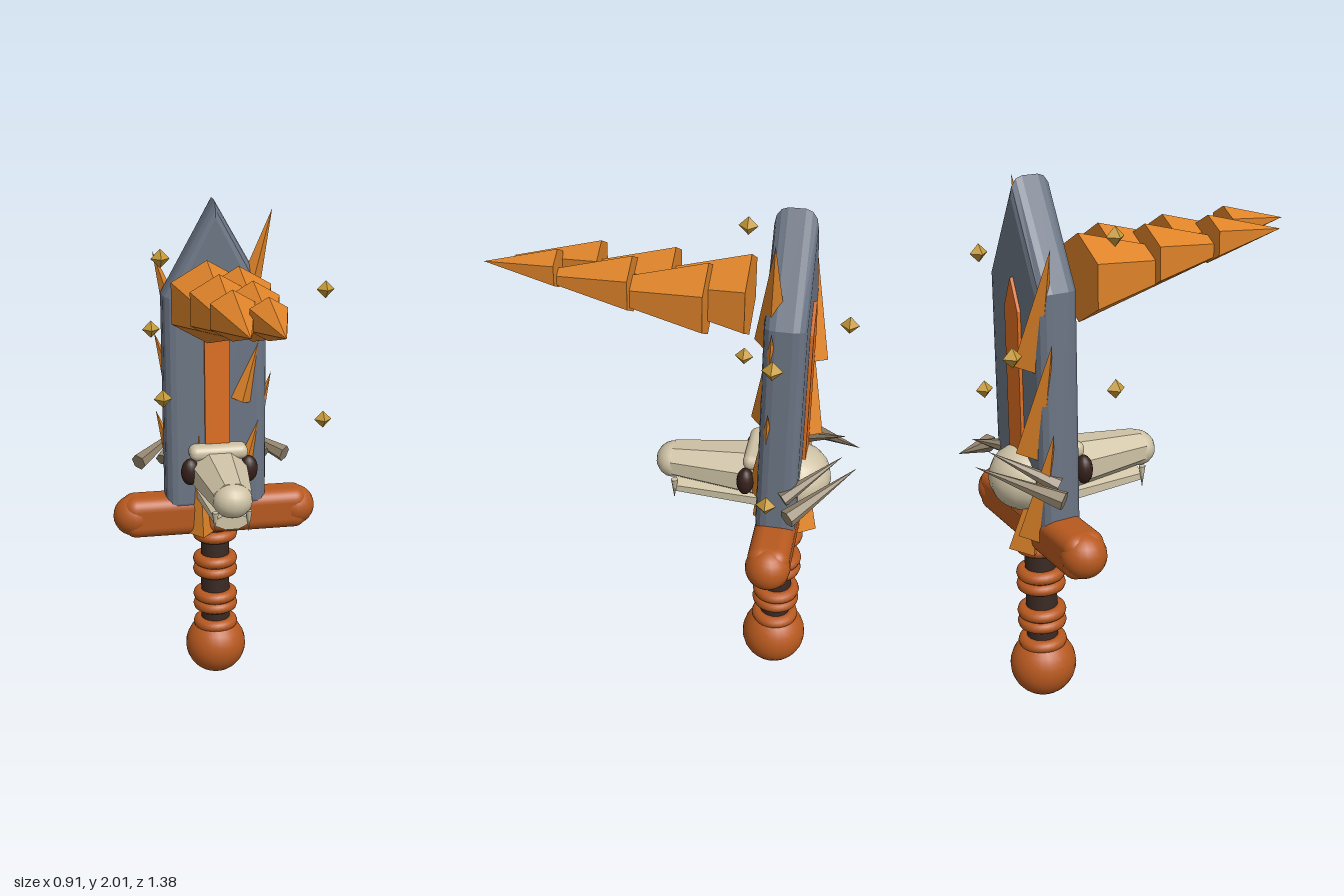
import * as THREE from 'three';
import { RoundedBoxGeometry } from 'three/addons/geometries/RoundedBoxGeometry.js';

const CX = -0.035, CZ = -0.41; // sword axis
const mat = (color, flatShading = false) => new THREE.MeshStandardMaterial({ color, flatShading });
const M = {
  steel: mat(0x6b7584), core: mat(0xde6f22), copper: mat(0xb8591f), leather: mat(0x3b2a24),
  flame: mat(0xdf8429, true), bone: mat(0xcfc3a6), boneFlat: mat(0xcfc3a6, true),
  horn: mat(0x92836b, true), eye: mat(0x35201a), gold: mat(0xc69a38, true),
};
const V = (x, y, z) => new THREE.Vector3(x, y, z);

export function createModel() {
  const root = new THREE.Group();
  root.name = 'flamingSword';

  const add = (name, geo, material, x, y, z, parent = root) => {
    const m = new THREE.Mesh(geo, material);
    m.name = name;
    m.position.set(x, y, z);
    parent.add(m);
    return m;
  };

  // Cone running from a base centre to a tip
  const spike = (name, base, tip, r, sides, material, parent = root, turn = 0) => {
    const dir = tip.clone().sub(base);
    const len = dir.length();
    const geo = new THREE.ConeGeometry(r, len, sides).rotateY(turn).translate(0, len / 2, 0);
    const m = add(name, geo, material, base.x, base.y, base.z, parent);
    m.quaternion.setFromUnitVectors(V(0, 1, 0), dir.normalize());
    return m;
  };

  // Pointed slab with bevelled edges, centred on the sword plane
  const slab = (name, half, bottom, shoulder, top, thick, bevel, segs, material) => {
    const s = new THREE.Shape();
    const h = half - bevel;
    s.moveTo(-h, bottom);
    s.lineTo(h, bottom);
    s.lineTo(h, shoulder);
    s.lineTo(0, top - bevel * 1.15);
    s.lineTo(-h, shoulder);
    s.closePath();
    const depth = thick - 2 * bevel;
    const geo = new THREE.ExtrudeGeometry(s, {
      depth, bevelEnabled: bevel > 0, bevelThickness: bevel, bevelSize: bevel, bevelSegments: segs,
    });
    geo.translate(0, 0, -depth / 2);
    return add(name, geo, material, CX, 0, CZ);
  };

  // Blade and glowing core
  slab('blade', 0.205, 0.8, 1.64, 2.0, 0.15, 0.045, 3, M.steel);
  slab('bladeCore', 0.05, 0.78, 1.56, 1.67, 0.175, 0, 1, M.core);

  // Hilt
  add('pommel', new THREE.SphereGeometry(0.127, 24, 16), M.copper, CX, 0.127, CZ);
  add('grip', new THREE.CylinderGeometry(0.06, 0.06, 0.5, 20), M.leather, CX, 0.44, CZ);
  for (const y of [0.23, 0.315, 0.36, 0.475, 0.522, 0.635]) {
    add('gripRing', new THREE.TorusGeometry(0.068, 0.025, 10, 28).rotateX(Math.PI / 2), M.copper, CX, y, CZ);
  }
  add('guard', new RoundedBoxGeometry(0.76, 0.17, 0.155, 4, 0.05), M.copper, CX, 0.737, CZ);
  for (const s of [-1, 1]) {
    add('guardEnd', new THREE.SphereGeometry(0.084, 20, 14), M.copper, CX + s * 0.336, 0.737, CZ);
  }

  // Skull
  const skull = new THREE.Group();
  skull.name = 'skull';
  root.add(skull);
  add('cranium', new THREE.SphereGeometry(0.135, 16, 12), M.bone, CX, 0.925, -0.46, skull).scale.set(1.05, 0.92, 1);
  const snout = new THREE.CylinderGeometry(0.07, 0.11, 0.35, 8).rotateY(Math.PI / 8).rotateX(Math.PI / 2);
  add('snout', snout, M.boneFlat, CX, 0.94, -0.165, skull).scale.set(1.15, 0.95, 1);
  add('nose', new THREE.SphereGeometry(0.067, 16, 12), M.bone, CX, 0.935, 0.01, skull).scale.set(1.15, 1, 1);
  add('brow', new RoundedBoxGeometry(0.235, 0.06, 0.09, 3, 0.028), M.bone, CX, 1.025, -0.315, skull);
  const jaw = new THREE.CylinderGeometry(0.055, 0.075, 0.33, 8).rotateY(Math.PI / 8).rotateX(Math.PI / 2);
  add('jaw', jaw, M.boneFlat, CX, 0.842, -0.17, skull).scale.set(1.25, 0.6, 1);
  for (const s of [-1, 1]) {
    add('eye', new THREE.SphereGeometry(0.05, 16, 12), M.eye, CX + s * 0.118, 0.955, -0.285, skull).scale.set(0.75, 1.1, 0.65);
    for (const z of [-0.005, -0.32]) {
      const x = CX + s * 0.065;
      spike('tooth', V(x, 0.885, z), V(x, 0.798, z), 0.014, 6, M.bone, skull);
    }
    // Swept-back horns
    spike('outerHorn', V(CX + s * 0.305, 0.945, -0.465), V(CX + s * 0.067, 1.035, -0.69), 0.035, 6, M.horn, skull);
    spike('innerHorn', V(CX + s * 0.21, 0.96, -0.435), V(CX + s * 0.067, 1.08, -0.635), 0.03, 6, M.horn, skull);
  }

  // Licks of flame: rows climbing the front left edge and the back right edge
  for (let i = 0; i < 3; i++) {
    const y = i * 0.322;
    spike('frontFlame', V(0.06, 0.905 + y, -0.355), V(0.19, 1.33 + y, -0.37), 0.06, 4, M.flame);
    spike('backFlame', V(-0.13, 0.74 + y, -0.475), V(-0.265, 1.165 + y, -0.46), 0.068, 4, M.flame);
  }
  spike('frontFlame', V(-0.1, 0.67, -0.38), V(-0.11, 1.09, -0.335), 0.085, 4, M.flame);
  spike('backFlame', V(-0.06, 0.66, -0.48), V(-0.15, 1.0, -0.47), 0.07, 4, M.flame);

  // Twin streams of nested six-sided cones shooting forward
  const radii = [0.16, 0.14, 0.123, 0.109, 0.09, 0.075];
  radii.forEach((r, i) => {
    const x = i % 2 ? 0.014 : -0.083;
    const z = -0.257 + i * 0.1345;
    const geo = new THREE.ConeGeometry(r, r * 3.67, 6).rotateX(Math.PI / 2);
    add('flameStream', geo, M.flame, x, 1.805 - r, z + r * 1.835);
  });

  // Floating sparks
  const sparks = [
    [-0.265, 1.825, -0.215], [0.417, 1.645, -0.405], [-0.26, 1.465, -0.605],
    [-0.265, 1.285, -0.215], [0.417, 1.105, -0.405],
  ];
  for (const p of sparks) add('spark', new THREE.OctahedronGeometry(0.036), M.gold, ...p);

  return root;
}
